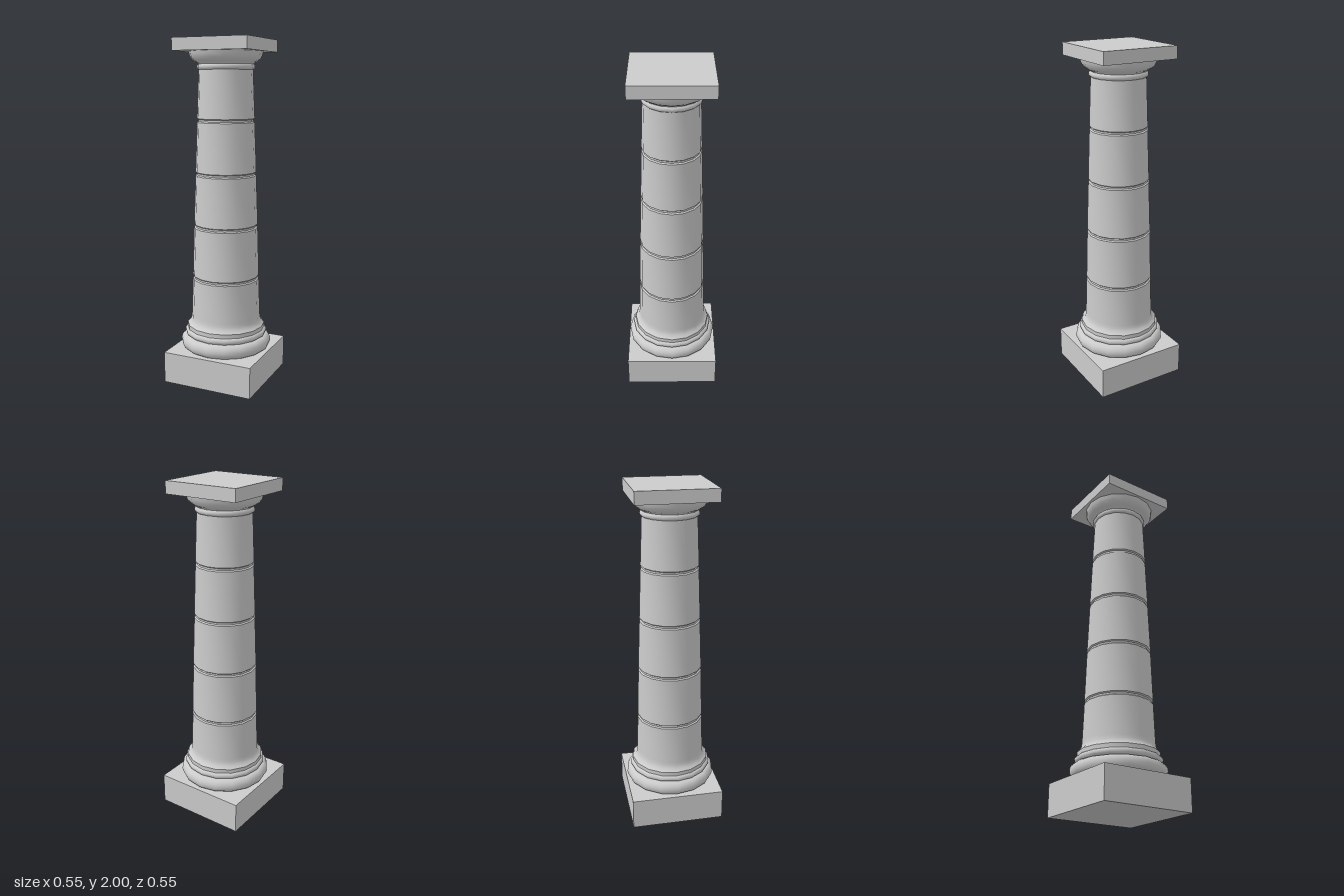
import * as THREE from 'three';
import { toCreasedNormals } from 'three/addons/utils/BufferGeometryUtils.js';

const SIDES = 16;
const material = new THREE.MeshStandardMaterial({ color: 0xcccccc, side: THREE.DoubleSide });

export function createModel() {
  const model = new THREE.Group();
  model.name = 'column';

  const add = (name, geometry) => {
    const mesh = new THREE.Mesh(geometry, material);
    mesh.name = name;
    model.add(mesh);
    return mesh;
  };

  // Square slab standing on height y
  const slab = (name, width, y, height) => {
    add(name, new THREE.BoxGeometry(width, height, width)).position.y = y + height / 2;
  };

  // Round part turned from [radius, y] points, bottom to top
  const turned = (name, profile) => {
    const points = profile.map(([r, y]) => new THREE.Vector2(r, y));
    add(name, toCreasedNormals(new THREE.LatheGeometry(points, SIDES), 0.65));
  };

  // Half-round moulding profile bulging out to the given radius
  const bulge = (radius, y0, y1, depth, steps = 8) =>
    Array.from({ length: steps + 1 }, (_, i) => {
      const a = (i / steps - 0.5) * Math.PI;
      return [radius - depth + depth * Math.cos(a), (y0 + y1) / 2 + ((y1 - y0) / 2) * Math.sin(a)];
    });

  slab('plinth', 0.55, 0, 0.185);
  slab('abacus', 0.45, 1.93, 0.07);

  // Base mouldings
  turned('lowerTorus', [...bulge(0.27, 0.185, 0.267, 0.035), [0.2, 0.267]]);
  turned('upperTorus', [...bulge(0.245, 0.267, 0.307, 0.02), [0.2, 0.307]]);
  turned('baseFillet', [[0.231, 0.305], [0.231, 0.33], [0.222, 0.338], [0.212, 0.35], [0.207, 0.365], [0.205, 0.385]]);

  // Tapering shaft, with a narrow groove at each drum joint
  const taper = [[0.205, 0.385], [0.197, 0.62], [0.188, 0.93], [0.177, 1.238], [0.166, 1.545], [0.155, 1.83]];
  const shaft = [taper[0]];
  for (const [r, y] of taper.slice(1, -1)) {
    shaft.push([r, y - 0.011], [r - 0.008, y - 0.005], [r - 0.008, y + 0.005], [r, y + 0.011]);
  }
  shaft.push(taper.at(-1));
  turned('shaft', shaft);

  // Capital
  turned('neckRing', [[0.15, 1.828], ...bulge(0.166, 1.828, 1.862, 0.014), [0.15, 1.862]]);
  turned('echinus', [[0.155, 1.855], [0.162, 1.866], [0.176, 1.872], [0.19, 1.882],
    [0.201, 1.896], [0.208, 1.912], [0.212, 1.93]]);

  return model;
}
